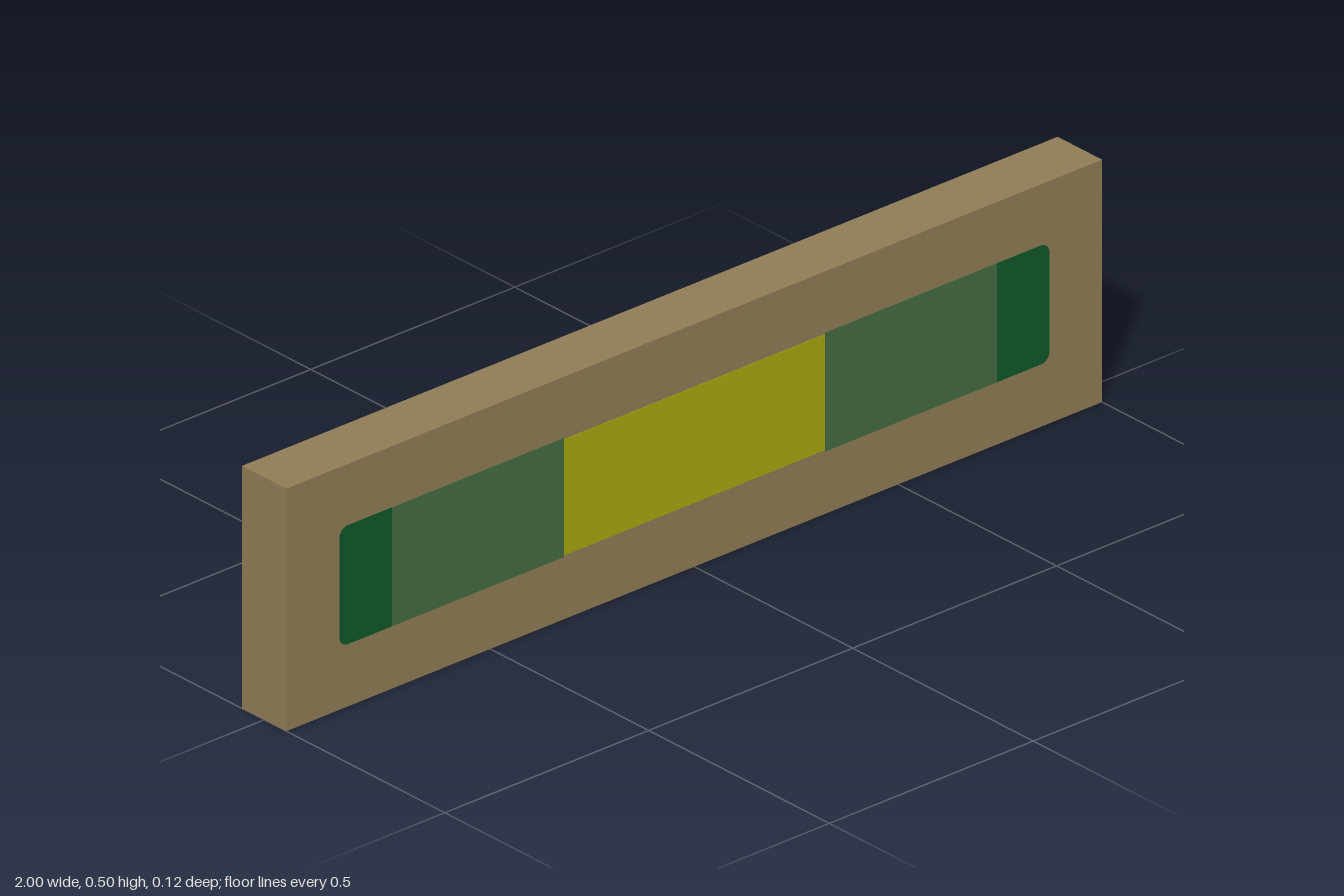
import * as THREE from 'three';

const material = (name, color) => {
  const m = new THREE.MeshStandardMaterial({ color });
  m.name = name;
  return m;
};

// Panel outline from x0 to x1, with the two outer corners (at x1) rounded by r
function panelShape(x0, x1, y0, y1, r) {
  const s = new THREE.Shape();
  s.moveTo(x0, y0);
  s.lineTo(x1 - r, y0);
  if (r > 0) s.absarc(x1 - r, y0 + r, r, -Math.PI / 2, 0, false);
  s.lineTo(x1, y1 - r);
  if (r > 0) s.absarc(x1 - r, y1 - r, r, 0, Math.PI / 2, false);
  s.lineTo(x0, y1);
  s.closePath();
  return s;
}

export function createModel() {
  const group = new THREE.Group();
  group.name = 'panelBar';
  const brown = material('brown', 0x907d56);
  const yellow = material('yellow', 0xa8a810);
  const green = material('mossGreen', 0x456c41);
  const darkGreen = material('darkGreen', 0x0f5929);

  // Solid bar
  const bar = new THREE.Mesh(new THREE.BoxGeometry(2, 0.5, 0.123), brown);
  bar.name = 'bar';
  bar.position.y = 0.25;
  group.add(bar);

  // Inlays: name, inner x, outer x, bottom, top, outer corner radius, colour
  const inlays = [
    ['centreInlay', 0, 0.32, 0.132, 0.371, 0, yellow],
    ['middleInlay', 0.32, 0.742, 0.129, 0.374, 0, green],
    ['endInlay', 0.742, 0.87, 0.129, 0.374, 0.02, darkGreen],
  ];
  const plate = 0.004;
  for (const [name, x0, x1, y0, y1, r, mat] of inlays) {
    const geometry = new THREE.ExtrudeGeometry(panelShape(x0, x1, y0, y1, r), {
      depth: plate, bevelEnabled: false, curveSegments: 6,
    });
    geometry.translate(0, 0, 0.0625 - plate);
    // Both ends, on the front and on the back
    for (const [face, turn] of [['front', 0], ['back', Math.PI]]) {
      for (const [side, roll] of [['Left', 0], ['Right', Math.PI]]) {
        const mesh = new THREE.Mesh(geometry, mat);
        mesh.name = face + side + name[0].toUpperCase() + name.slice(1);
        mesh.rotation.set(0, turn, roll);
        // A half roll flips the plate vertically, so lift it back into place
        mesh.position.y = roll ? y0 + y1 : 0;
        group.add(mesh);
      }
    }
  }
  return group;
}
